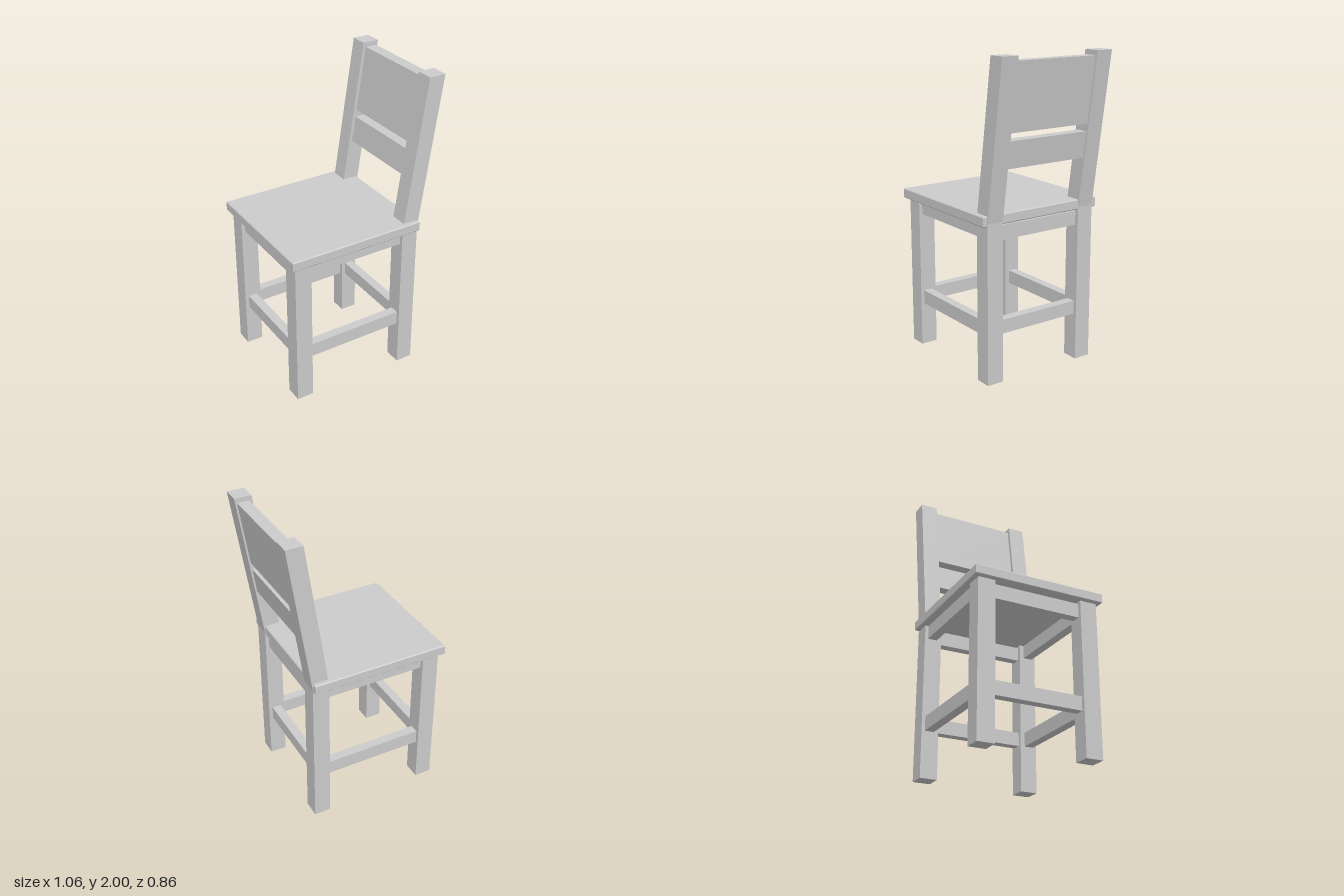
import * as THREE from 'three';

const material = new THREE.MeshStandardMaterial({ color: 0xcccccc, flatShading: true });

function addMesh(parent, name, geometry) {
  const mesh = new THREE.Mesh(geometry, material);
  mesh.name = name;
  parent.add(mesh);
  return mesh;
}

// Box given by its lower and upper limits on each axis
function addBox(parent, name, [x0, x1], [y0, y1], [z0, z1]) {
  const mesh = addMesh(parent, name, new THREE.BoxGeometry(x1 - x0, y1 - y0, z1 - z0));
  mesh.position.set((x0 + x1) / 2, (y0 + y1) / 2, (z0 + z1) / 2);
  return mesh;
}

// Side profile (x, y) extruded across z
function addProfile(parent, name, points, z0, z1) {
  const shape = new THREE.Shape(points.map(([x, y]) => new THREE.Vector2(x, y)));
  const mesh = addMesh(parent, name, new THREE.ExtrudeGeometry(shape, { depth: z1 - z0, bevelEnabled: false }));
  mesh.position.z = z0;
  return mesh;
}

// Front face of the leaning back at height y
const BEND = 1.02, SLOPE = 0.15;
const lean = (y) => 0.27 + (y - BEND) * SLOPE;

export function createModel() {
  const chair = new THREE.Group();
  chair.name = 'chair';
  const inner = 0.29, outer = 0.402;

  // Seat board with a fine chamfer; the chair looks towards -x
  const c = 0.006, x0 = -0.528 + c, x1 = 0.378 - c, zs = 0.431 - c;
  const outline = new THREE.Shape([
    new THREE.Vector2(x0, -zs), new THREE.Vector2(x1, -zs),
    new THREE.Vector2(x1, zs), new THREE.Vector2(x0, zs),
  ]);
  const seat = addMesh(chair, 'seat', new THREE.ExtrudeGeometry(outline, {
    depth: 0.065 - 2 * c, bevelSize: c, bevelThickness: c, bevelSegments: 1,
  }));
  seat.rotation.x = -Math.PI / 2;
  seat.position.y = 1.004 + c;

  for (const side of [1, -1]) {
    const z = (a, b) => (side > 0 ? [a, b] : [-b, -a]);
    const label = side > 0 ? 'Left' : 'Right';

    // Front leg, and back leg that bends into the back post
    addBox(chair, 'frontLeg' + label, [-0.498, -0.387], [0.014, 1.005], z(inner, outer));
    addProfile(chair, 'backPost' + label, [
      [0.27, 0], [0.38, 0], [0.38, BEND],
      [lean(2) + 0.11, 2], [lean(2), 2], [0.27, BEND],
    ], ...z(inner, outer));

    // Side rails
    addBox(chair, 'sideApron' + label, [-0.387, 0.27], [0.915, 1.005], z(0.32, 0.38));
    addBox(chair, 'sideStretcher' + label, [-0.387, 0.27], [0.298, 0.39], z(0.32, 0.38));
  }

  // Cross rails at the front and back
  for (const [label, x] of [['front', [-0.473, -0.413]], ['back', [0.295, 0.355]]]) {
    addBox(chair, label + 'Apron', x, [0.9, 0.992], [-inner, inner]);
    addBox(chair, label + 'Stretcher', x, [0.303, 0.392], [-inner, inner]);
  }

  // Leaning back slat and panel
  for (const [name, y0, y1] of [['backSlat', 1.34, 1.508], ['backPanel', 1.555, 1.97]]) {
    const f = 0.023, b = 0.098;
    addProfile(chair, name, [
      [lean(y0) + f, y0], [lean(y0) + b, y0], [lean(y1) + b, y1], [lean(y1) + f, y1],
    ], -inner, inner);
  }
  return chair;
}
